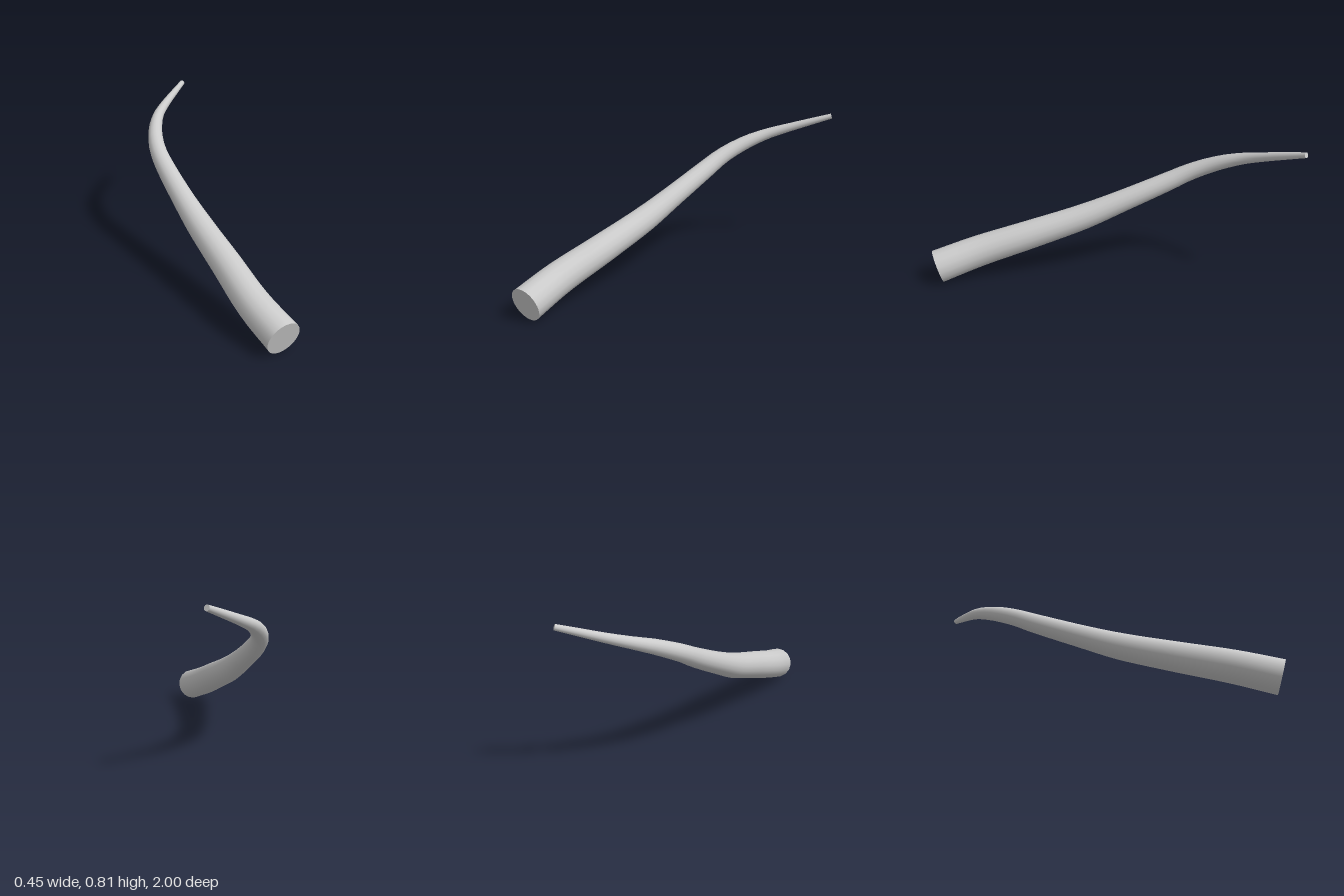
import * as THREE from 'three';

// Stations from butt to tip: centre x, y, z and radius
const STATIONS = [
  [0.135, 0.09, 0.964, 0.092],
  [0.06, 0.155, 0.75, 0.087],
  [0.0, 0.238, 0.47, 0.080],
  [-0.067, 0.33, 0.17, 0.071],
  [-0.112, 0.407, -0.03, 0.061],
  [-0.165, 0.52, -0.3, 0.052],
  [-0.177, 0.567, -0.4, 0.047],
  [-0.172, 0.61, -0.5, 0.043],
  [-0.15, 0.65, -0.6, 0.038],
  [-0.113, 0.685, -0.7, 0.031],
  [-0.05, 0.72, -0.8, 0.025],
  [0.027, 0.758, -0.9, 0.02],
  [0.1, 0.793, -0.992, 0.015],
];

// Radius at a given z, between neighbouring stations
function radiusAt(z) {
  for (let i = 1; i < STATIONS.length; i++) {
    const a = STATIONS[i - 1], b = STATIONS[i];
    if (z >= b[2]) {
      const t = THREE.MathUtils.clamp((a[2] - z) / (a[2] - b[2]), 0, 1);
      return THREE.MathUtils.lerp(a[3], b[3], t);
    }
  }
  return STATIONS[STATIONS.length - 1][3];
}

export function createModel() {
  const group = new THREE.Group();
  group.name = 'curvedHorn';
  const material = new THREE.MeshStandardMaterial({ color: 0xcccccc });
  const rings = 36, sides = 16;
  const curve = new THREE.CatmullRomCurve3(
    STATIONS.map(([x, y, z]) => new THREE.Vector3(x, y, z)));

  // Shaft: a unit tube whose rings are scaled to the tapering radius
  const tube = new THREE.TubeGeometry(curve, rings, 1, sides, false);
  const pos = tube.attributes.position;
  const v = new THREE.Vector3();
  for (let i = 0; i <= rings; i++) {
    const centre = curve.getPointAt(i / rings);
    const r = radiusAt(centre.z);
    for (let j = 0; j <= sides; j++) {
      const k = i * (sides + 1) + j;
      v.fromBufferAttribute(pos, k).sub(centre).multiplyScalar(r).add(centre);
      pos.setXYZ(k, v.x, v.y, v.z);
    }
  }
  tube.computeBoundingSphere();
  const shaft = new THREE.Mesh(tube, material);
  shaft.name = 'shaft';
  group.add(shaft);

  // Flat ends, facing outward along the curve
  for (const [name, t, sign] of [['buttCap', 0, -1], ['tipCap', 1, 1]]) {
    const centre = curve.getPointAt(t);
    const cap = new THREE.Mesh(new THREE.CircleGeometry(radiusAt(centre.z), 32), material);
    cap.name = name;
    cap.position.copy(centre);
    cap.lookAt(centre.clone().addScaledVector(curve.getTangentAt(t), sign));
    group.add(cap);
  }
  return group;
}
